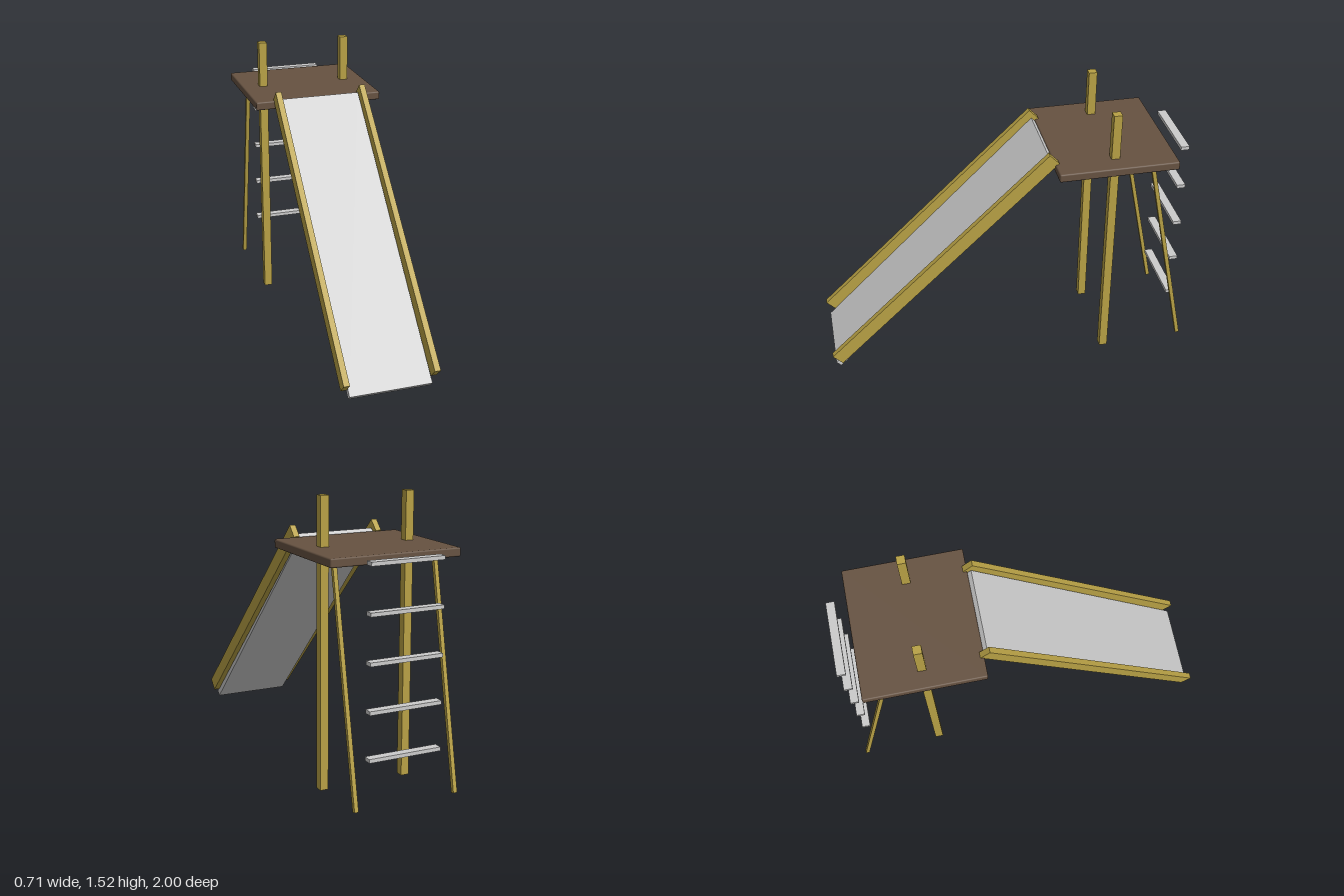
import * as THREE from 'three';
import { RoundedBoxGeometry } from 'three/addons/geometries/RoundedBoxGeometry.js';

export function createModel() {
  const group = new THREE.Group();
  const yellow = new THREE.MeshStandardMaterial({ color: 0xb8a145 });
  const brown = new THREE.MeshStandardMaterial({ color: 0x665241 });
  const grey = new THREE.MeshStandardMaterial({ color: 0xcccccc });

  function add(name, geometry, material, x, y, z) {
    const mesh = new THREE.Mesh(geometry, material);
    mesh.name = name;
    mesh.position.set(x, y, z);
    group.add(mesh);
    return mesh;
  }

  // Straight bar between two [y, z] end points, its length along local z
  function bar(name, material, x, width, thickness, [y0, z0], [y1, z1]) {
    const length = Math.hypot(y1 - y0, z1 - z0);
    const mesh = add(name, new THREE.BoxGeometry(width, thickness, length), material,
      x, (y0 + y1) / 2, (z0 + z1) / 2);
    mesh.rotation.x = Math.atan2(y0 - y1, z1 - z0);
    return mesh;
  }

  // Platform with softened edges
  add('platform', new RoundedBoxGeometry(0.715, 0.046, 0.637, 2, 0.008), brown, 0, 1.243, -0.548);

  // Slide surface
  bar('slidePanel', grey, 0, 0.44, 0.036, [1.267, -0.222], [0.087, 0.972]);

  for (const [side, s] of [['left', 1], ['right', -1]]) {
    // Upright posts passing through the platform
    add(side + 'Post', new THREE.BoxGeometry(0.045, 1.52, 0.045), yellow, s * 0.24, 0.76, -0.548);
    // Slide side rails
    bar(side + 'SlideRail', yellow, s * 0.24, 0.032, 0.074, [1.298, -0.225], [0.148, 0.975]);
    // Leaning ladder rails
    bar(side + 'LadderRail', yellow, s * 0.28, 0.022, 0.021, [0.045, -0.986], [1.202, -0.749]);
  }

  // Ladder rungs stacked vertically
  for (let i = 0; i < 5; i++) {
    add('ladderRung' + (i + 1), new THREE.BoxGeometry(0.4, 0.02, 0.046), grey, 0, 0.285 + i * 0.24, -0.949);
  }
  return group;
}
